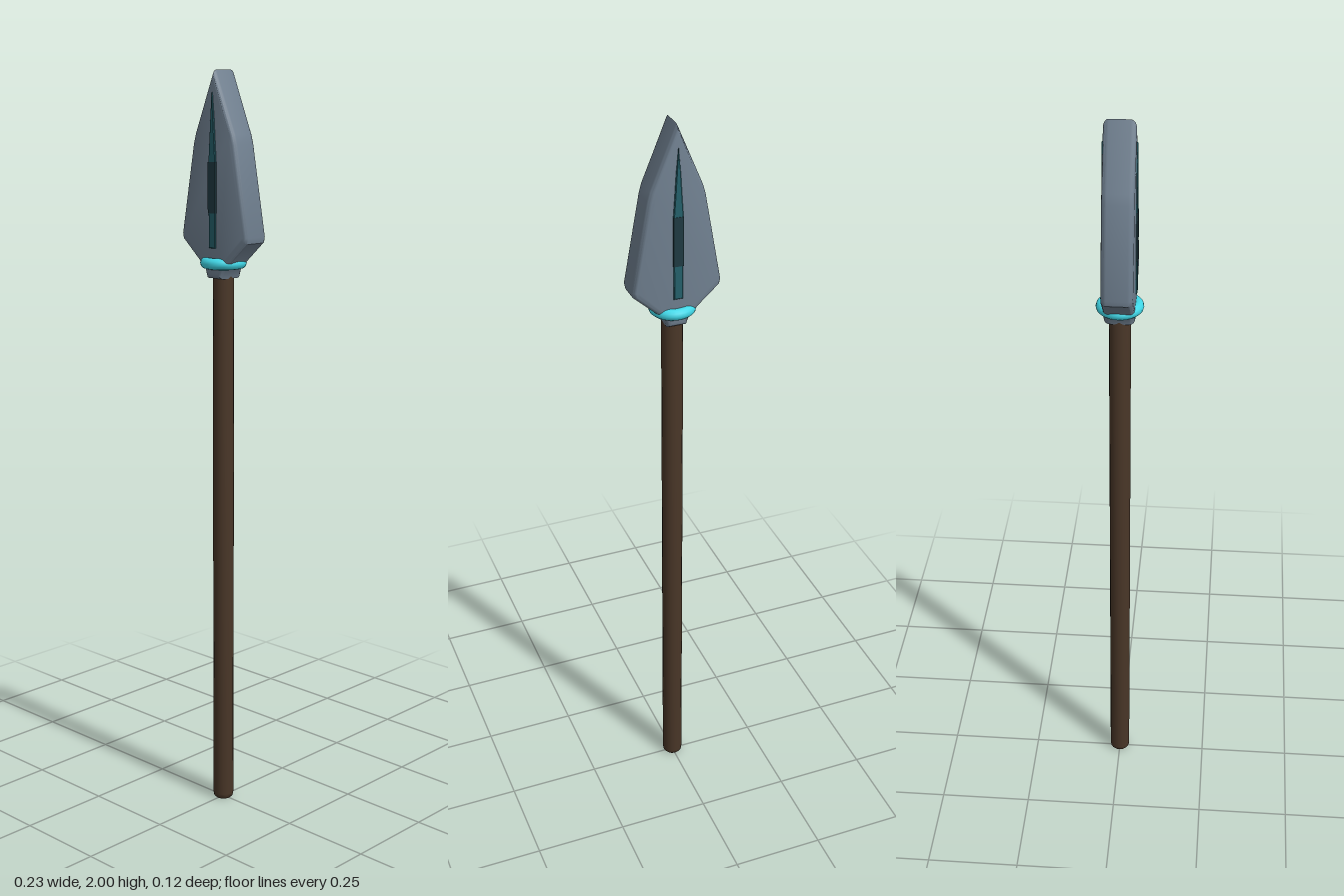
import * as THREE from 'three';
import { toCreasedNormals } from 'three/addons/utils/BufferGeometryUtils.js';

// Symmetric outline from its right-hand points, listed bottom to top
function mirroredShape(points) {
  const right = points.map(([x, y]) => new THREE.Vector2(x, y));
  const left = points.filter(([x]) => x > 0).reverse().map(([x, y]) => new THREE.Vector2(-x, y));
  return new THREE.Shape([...right, ...left]);
}

// Bevelled plate centred on z = 0 whose outline and depth include the bevel
function plate(points, halfDepth, bevel, segments) {
  const geometry = new THREE.ExtrudeGeometry(mirroredShape(points), {
    depth: 2 * (halfDepth - bevel), bevelEnabled: true, bevelThickness: bevel,
    bevelSize: bevel, bevelOffset: -bevel, bevelSegments: segments,
  });
  geometry.translate(0, 0, -(halfDepth - bevel));
  return toCreasedNormals(geometry, 0.6);
}

export function createModel() {
  const model = new THREE.Group();
  const add = (name, geometry, color) => {
    const mesh = new THREE.Mesh(geometry, new THREE.MeshStandardMaterial({ color }));
    mesh.name = name;
    model.add(mesh);
    return mesh;
  };

  // Wooden shaft with softened ends
  const profile = [[0, 0], [0.022, 0], [0.027, 0.006], [0.028, 0.015], [0.028, 1.49], [0, 1.49]]
    .map(([x, y]) => new THREE.Vector2(x, y));
  add('shaft', toCreasedNormals(new THREE.LatheGeometry(profile, 16), 0.7), 0x4a3728);

  // Thick leaf-shaped blade, narrowing to a tang inside the ring
  add('blade', plate([
    [0.026, 1.47], [0.034, 1.495], [0.114, 1.567], [0.117, 1.582], [0.075, 1.815], [0.068, 1.84], [0, 2],
  ], 0.04, 0.014, 4), 0x708090);

  // Glowing ring binding the blade to the shaft
  const ring = add('ring', new THREE.TorusGeometry(0.046, 0.015, 12, 32), 0x40d8e8);
  ring.rotation.x = Math.PI / 2;
  ring.position.y = 1.51;

  // Raised inlay along the middle of both faces
  add('inlay', plate([
    [0.012, 1.55], [0.013, 1.77], [0.009, 1.83], [0.006, 1.88], [0, 1.945],
  ], 0.044, 0.002, 1), 0x24606b);

  // Dark panel set in the inlay
  const panel = add('inlayPanel', new THREE.BoxGeometry(0.026, 0.13, 0.09), 0x1f3a42);
  panel.position.y = 1.705;

  return model;
}
